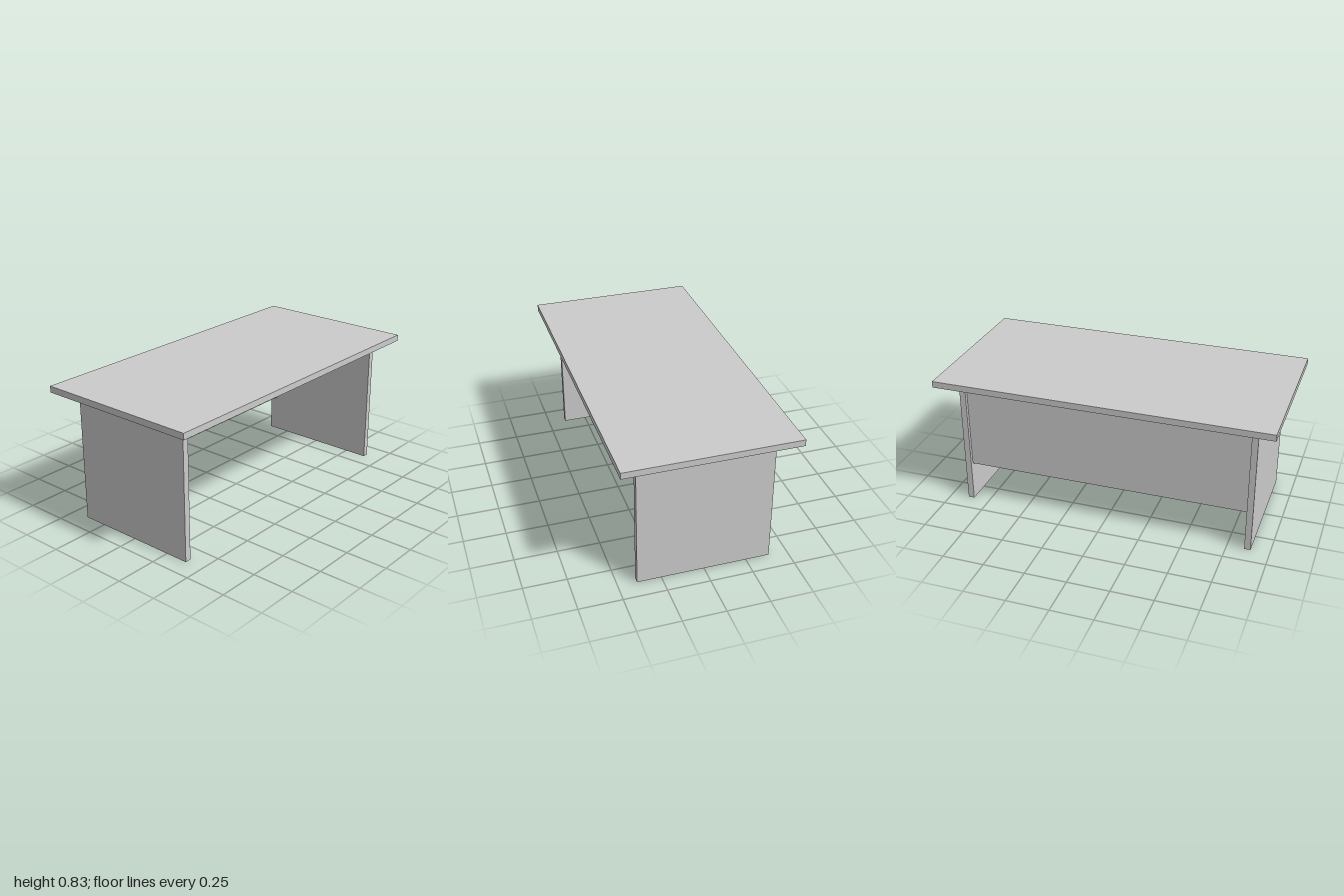
import * as THREE from 'three';

const material = new THREE.MeshStandardMaterial({ color: 0xcccccc, flatShading: true });

// Box given by its lower and upper corner
function board(name, [x0, y0, z0], [x1, y1, z1]) {
  const mesh = new THREE.Mesh(new THREE.BoxGeometry(x1 - x0, y1 - y0, z1 - z0), material);
  mesh.position.set((x0 + x1) / 2, (y0 + y1) / 2, (z0 + z1) / 2);
  mesh.name = name;
  return mesh;
}

export function createModel() {
  const desk = new THREE.Group();
  desk.name = 'desk';

  const topY = 0.829;       // height of the desk
  const underside = 0.791;  // underside of the desktop
  const legOuter = 0.889;
  const legInner = 0.852;

  // Desktop slab
  desk.add(board('desktop', [-1, underside, -0.5], [1, topY, 0.5]));

  // Side panels that serve as legs
  desk.add(board('leftLegPanel', [legInner, 0, -0.39], [legOuter, underside, 0.39]));
  desk.add(board('rightLegPanel', [-legOuter, 0, -0.39], [-legInner, underside, 0.39]));

  // Modesty panel between the legs, slightly inset from their back edges
  desk.add(board('modestyPanel', [-legInner, 0.238, -0.37], [legInner, underside, -0.333]));

  return desk;
}
